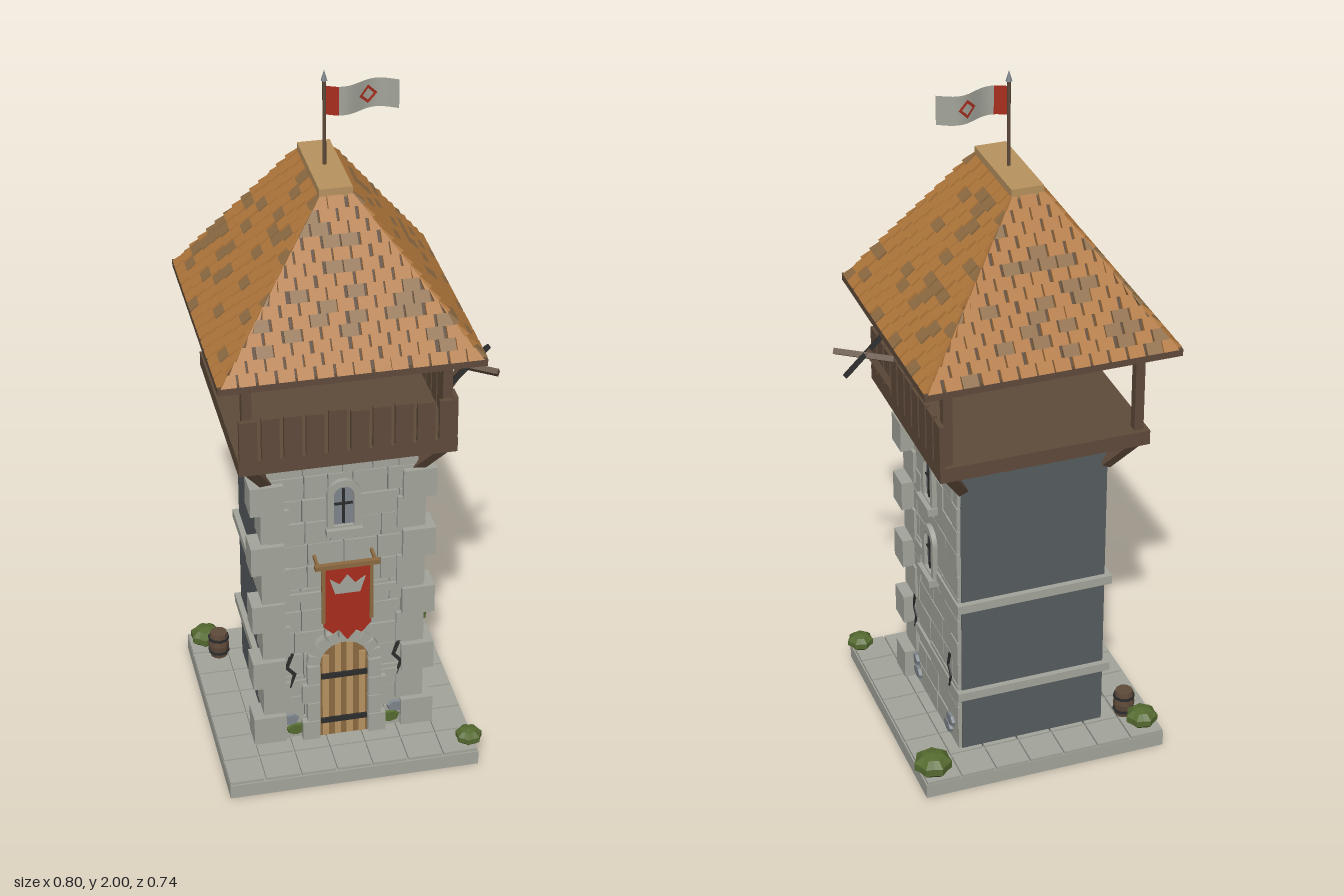
import * as THREE from 'three';
import { mergeGeometries } from 'three/addons/utils/BufferGeometryUtils.js';

const mat = (name, color, side = THREE.FrontSide) => {
  const m = new THREE.MeshStandardMaterial({ color, side });
  m.name = name;
  return m;
};
const DS = THREE.DoubleSide;
const M = {
  stone: mat('pale stone', 0xa3a59b, DS), core: mat('dark stone', 0x565d5f),
  slate: mat('slate', 0x7d848a), timber: mat('timber', 0x5e4a3a),
  shingle: mat('orange shingle', 0xb0763a), worn: mat('worn shingle', 0x8c6a42),
  tan: mat('tan wood', 0xb8925f), red: mat('red cloth', 0xa82e1e, DS),
  green: mat('leaf green', 0x556a30), iron: mat('iron', 0x2b2c2b),
};

// Small seeded random generator
let seed = 7;
const rnd = () => (seed = (seed * 16807) % 2147483647) / 2147483647;

const flat = (g) => {
  const n = g.index ? g.toNonIndexed() : g;
  n.computeVertexNormals();
  return n;
};
const box = (x0, x1, y0, y1, z0, z1) => new THREE.BoxGeometry(x1 - x0, y1 - y0, z1 - z0)
  .translate((x0 + x1) / 2, (y0 + y1) / 2, (z0 + z1) / 2);
// Square beam between two points
const beam = (a, b, w) => {
  const p = new THREE.Vector3(...a), q = new THREE.Vector3(...b);
  const dir = q.clone().sub(p);
  const turn = new THREE.Quaternion().setFromUnitVectors(new THREE.Vector3(0, 1, 0), dir.clone().normalize());
  return new THREE.BoxGeometry(w, dir.length(), w).applyQuaternion(turn)
    .translate(...p.add(q).multiplyScalar(0.5).toArray());
};
const poly = (pts) => new THREE.Shape(pts.map((p) => new THREE.Vector2(...p)));
const plate = (shape, depth, z) => new THREE.ExtrudeGeometry(shape, { depth, bevelEnabled: false, curveSegments: 10 }).translate(0, 0, z);
// Round-topped opening: half width r, from y0 to the top of the arch
const arch = (r, y0, top, Kind = THREE.Shape) => {
  const s = new Kind();
  s.moveTo(-r, y0).lineTo(r, y0).lineTo(r, top - r);
  s.absarc(0, top - r, r, 0, Math.PI, false);
  return s;
};
const mesh = (parent, name, geos, material) => {
  const list = [geos].flat();
  const m = new THREE.Mesh(list.length > 1 ? mergeGeometries(list) : list[0], material);
  m.name = name;
  parent.add(m);
  return m;
};
const group = (parent, name, x = 0, y = 0, z = 0, ry = 0) => {
  const g = new THREE.Group();
  g.name = name;
  g.position.set(x, y, z);
  g.rotation.y = ry;
  parent.add(g);
  return g;
};

// Brick courses, cracks and rubble on one face of the tower
function wallFace(parent, name, ry) {
  const g = group(parent, name, 0, 0, 0, ry);
  const bricks = [], rows = 13, h = 0.95 / rows;
  for (let r = 0; r < rows; r++) {
    let x = -0.208;
    while (x < 0.2) {
      let e = x + 0.065 + rnd() * 0.05;
      if (e > 0.17) e = 0.21;
      bricks.push(box(x, e - 0.003, 0.05 + r * h, 0.05 + (r + 1) * h - 0.003, 0.2, 0.218 + rnd() * 0.004));
      x = e;
    }
  }
  mesh(g, 'bricks', bricks, M.stone);
  for (const s of [-1, 1]) {
    const c = s * 0.152;
    const crack = poly([[c, 0.35], [c + 0.012, 0.35], [c - 0.004, 0.305], [c + 0.018, 0.28], [c + 0.003, 0.235],
      [c - 0.002, 0.235], [c + 0.008, 0.277], [c - 0.014, 0.303]]);
    mesh(g, 'crack', plate(crack, 0.004, 0.225), M.iron);
    [[0.155, 0.12, M.slate], [0.135, 0.085, ry ? M.slate : M.green]].forEach(([x, y, m]) => {
      const stone = new THREE.CylinderGeometry(0.026, 0.03, 0.008, 7).rotateX(Math.PI / 2).scale(1, 0.65, 1);
      mesh(g, 'rubbleStone', flat(stone.translate(s * x, y, 0.226)), m);
    });
  }
  return g;
}

function archedWindow(parent, y, glass) {
  const g = group(parent, 'window', 0, y, 0);
  const frame = arch(0.046, 0, 0.16);
  frame.holes.push(arch(0.028, 0.015, 0.14, THREE.Path));
  mesh(g, 'windowFrame', plate(frame, 0.014, 0.222), M.stone);
  mesh(g, 'windowPane', plate(arch(0.029, 0.012, 0.142), 0.004, 0.222), glass);
  mesh(g, 'windowBars', [box(-0.003, 0.003, 0.02, 0.13, 0.226, 0.231), box(-0.025, 0.025, 0.08, 0.086, 0.226, 0.231)], M.iron);
  mesh(g, 'windowSill', box(-0.05, 0.05, -0.012, 0.01, 0.21, 0.25), M.stone);
}

function door(parent) {
  const g = group(parent, 'door');
  mesh(g, 'doorLeaf', plate(arch(0.068, 0.05, 0.38), 0.006, 0.224), M.worn);
  const planks = [-0.052, -0.017, 0.017, 0.052].map((x) =>
    box(x - 0.009, x + 0.009, 0.055, 0.31 + Math.sqrt(0.066 ** 2 - (Math.abs(x) + 0.009) ** 2), 0.228, 0.234));
  mesh(g, 'doorPlanks', planks, M.tan);
  mesh(g, 'doorHinges', [0.11, 0.265].map((y) => box(-0.066, 0.066, y - 0.008, y + 0.008, 0.233, 0.24)), M.iron);
  const stones = [];
  for (let i = 0; i < 9; i++) {
    stones.push(new THREE.BoxGeometry(0.036, 0.028, 0.03).translate(0.087, 0, 0)
      .rotateZ((i + 0.5) * Math.PI / 9).translate(0, 0.311, 0.227));
  }
  for (const s of [-1, 1]) for (let i = 0; i < 4; i++) {
    stones.push(new THREE.BoxGeometry(i % 2 ? 0.036 : 0.05, 0.061, 0.03).translate(s * (i % 2 ? 0.087 : 0.094), 0.083 + i * 0.064, 0.227));
  }
  mesh(g, 'doorSurround', stones, M.stone);
}

function banner(parent) {
  const g = group(parent, 'banner', 0, 0, 0.275);
  mesh(g, 'bannerCloth', plate(poly([[-0.066, 0.655], [-0.066, 0.465], [-0.04, 0.44], [-0.025, 0.452], [0, 0.415],
    [0.025, 0.445], [0.04, 0.435], [0.066, 0.465], [0.066, 0.655]]), 0.004, 0), M.red);
  mesh(g, 'bannerPole', box(-0.09, 0.09, 0.658, 0.672, -0.006, 0.008), M.worn);
  mesh(g, 'bannerBrackets', [-0.08, 0.08].map((x) => box(x - 0.004, x + 0.004, 0.66, 0.67, -0.06, 0)), M.worn);
  mesh(g, 'bannerTrim', [-1, 1].map((s) => box(s * 0.067 - 0.005, s * 0.067 + 0.005, 0.48, 0.658, -0.001, 0.006)), M.worn);
  mesh(g, 'bannerEmblem', plate(poly([[-0.035, 0.575], [0.035, 0.575], [0.05, 0.625], [0.022, 0.605], [0, 0.635],
    [-0.022, 0.605], [-0.05, 0.625]]), 0.003, 0.004), M.stone);
}

// Hipped roof: shingle courses clipped at the hips over a solid frustum
function roof(parent) {
  const g = group(parent, 'roof');
  const y0 = 1.305, y1 = 1.715, eave = 0.346, rows = 14, lerp = THREE.MathUtils.lerp;
  const under = new THREE.BoxGeometry(2, 1, 2), p = under.attributes.position;
  for (let i = 0; i < p.count; i++) {
    const top = p.getY(i) > 0;
    p.setXYZ(i, p.getX(i) * (top ? 0.04 : 0.342), top ? y1 : y0, p.getZ(i) * (top ? 0.136 : 0.342));
  }
  mesh(g, 'roofBoards', flat(under), M.timber);
  mesh(g, 'eaveFrame', box(-0.354, 0.354, 1.29, 1.31, -0.354, 0.354), M.timber);
  mesh(g, 'ridgeCap', box(-0.044, 0.044, 1.708, 1.735, -0.14, 0.14), M.tan);
  const sets = [[], []];
  for (let k = 0; k < 4; k++) {
    const wTop = k % 2 ? 0.14 : 0.044, dTop = k % 2 ? 0.044 : 0.14;
    const nrm = new THREE.Vector2(y1 - y0, eave - dTop).normalize();
    for (let r = 0; r < rows; r++) {
      const t = [r / rows, (r + 1) / rows], w = t.map((v) => lerp(eave, wTop, v));
      const pitch = 0.05, n = Math.ceil(w[0] / pitch) + 1;
      for (let i = -n; i < n; i++) {
        const a = (i + (r % 2) / 2) * pitch + rnd() * 0.006, b = a + pitch - 0.007;
        if (a > w[0] - 0.004 || b < -w[0] + 0.004) continue;
        const s = new THREE.BoxGeometry(1, 1, 1), v = s.attributes.position;
        for (let j = 0; j < v.count; j++) {
          const up = v.getY(j) > 0 ? 1 : 0;
          const x = THREE.MathUtils.clamp(v.getX(j) > 0 ? b : a, -w[up], w[up]);
          const out = v.getZ(j) < 0 ? -0.003 : up ? 0.003 : 0.011;
          v.setXYZ(j, x, lerp(y0, y1, t[up]) + out * nrm.y, lerp(eave, dTop, t[up]) + out * nrm.x);
        }
        sets[rnd() < 0.2 ? 1 : 0].push(flat(s.rotateY(k * Math.PI / 2)));
      }
    }
  }
  mesh(g, 'shingles', sets[0], M.shingle);
  mesh(g, 'wornShingles', sets[1], M.worn);
}

function flag(parent) {
  const g = group(parent, 'flag');
  mesh(g, 'flagPole', new THREE.CylinderGeometry(0.005, 0.005, 0.25, 8).translate(0, 1.855, 0), M.timber);
  mesh(g, 'poleTip', flat(new THREE.ConeGeometry(0.009, 0.03, 6).translate(0, 1.985, 0)), M.slate);
  const wave = (geo, dz = 0) => {
    const p = geo.attributes.position;
    for (let i = 0; i < p.count; i++) p.setZ(i, 0.018 * Math.sin(p.getX(i) * 34) + dz);
    geo.computeVertexNormals();
    return geo;
  };
  const cloth = (a, b) => wave(new THREE.PlaneGeometry(b - a, 0.08, 12, 1).translate((a + b) / 2, 1.916, 0));
  mesh(g, 'flagStripe', cloth(0, 0.035), M.red);
  mesh(g, 'flagCloth', cloth(0.035, 0.195), M.stone);
  for (const dz of [-0.002, 0.002]) {
    mesh(g, 'flagDiamond', wave(new THREE.RingGeometry(0.016, 0.026, 4, 3).translate(0.117, 1.916, 0), dz), M.red);
  }
}

function gallery(parent) {
  const g = group(parent, 'gallery');
  mesh(g, 'deck', box(-0.295, 0.295, 1.0, 1.042, -0.295, 0.295), M.timber);
  const posts = [], braces = [], pickets = [];
  for (const sx of [-1, 1]) for (const sz of [-1, 1]) {
    posts.push(box(sx * 0.268 - 0.013, sx * 0.268 + 0.013, 1.04, 1.295, sz * 0.268 - 0.013, sz * 0.268 + 0.013));
    braces.push(beam([sx * 0.205, 0.91, sz * 0.205], [sx * 0.27, 1.01, sz * 0.27], 0.028));
  }
  // Picket fence on the front and left sides
  for (const ry of [0, Math.PI / 2]) for (let i = 0; i < 10; i++) {
    const x = -0.268 + i * 0.0596;
    pickets.push(box(x - 0.024, x + 0.024, 1.04, 1.16 + rnd() * 0.01, 0.281, 0.295).rotateY(ry));
  }
  mesh(g, 'roofPosts', posts, M.timber);
  mesh(g, 'cornerBraces', braces, M.timber);
  mesh(g, 'pickets', pickets, M.timber);
  // Mounted crossbow
  const bow = group(g, 'crossbow', 0.36, 1.165, 0.143);
  mesh(bow, 'bowStock', beam([-0.07, 0, -0.05], [0.07, 0, 0.05], 0.016), M.timber);
  mesh(bow, 'bowArms', beam([0.078, 0, -0.088], [-0.078, 0, 0.086], 0.014), M.iron);
  mesh(bow, 'bowStand', beam([-0.07, -0.1, -0.02], [-0.01, 0.01, 0], 0.018), M.timber);
}

export function createModel() {
  const model = new THREE.Group();
  model.name = 'watchtower';
  const t = group(model, 'tower', -0.04, 0, -0.02);

  // Paved base
  mesh(t, 'baseSlab', box(-0.355, 0.355, 0, 0.043, -0.325, 0.385), M.stone);
  const tiles = [];
  for (let i = 0; i < 7; i++) for (let j = 0; j < 7; j++) {
    const x = -0.355 + i * 0.1015, z = -0.325 + j * 0.1015;
    tiles.push(box(x + 0.001, x + 0.097, 0.04, 0.052, z + 0.001, z + 0.097));
  }
  mesh(t, 'pavingTiles', tiles, M.stone);

  // Tower body with string courses
  mesh(t, 'towerCore', box(-0.21, 0.21, 0.04, 1.0, -0.21, 0.21), M.core);
  mesh(t, 'stringCourses', [0.24, 0.535].map((y) => box(-0.226, 0.226, y - 0.013, y + 0.013, -0.226, 0.226)), M.stone);
  const front = wallFace(t, 'frontWall', 0);
  const side = wallFace(t, 'leftWall', Math.PI / 2);
  archedWindow(front, 0.75, M.slate);
  archedWindow(side, 0.75, M.core);
  archedWindow(side, 0.515, M.core);
  door(front);
  banner(front);
  const quoins = [];
  for (const s of [-1, 1]) for (let i = 0; i < 9; i++) {
    const big = i % 2 === 0, y = 0.055 + i * 0.0965;
    const a = s * (big ? 0.165 : 0.15), b = s * (big ? 0.257 : 0.228);
    quoins.push(box(Math.min(a, b), Math.max(a, b), y, y + (big ? 0.088 : 0.1), big ? 0.16 : 0.14, big ? 0.236 : 0.229));
  }
  mesh(t, 'cornerStones', quoins, M.stone);

  gallery(t);
  roof(t);
  flag(t);

  // Barrel
  const barrel = group(model, 'barrel', -0.32, 0.052, -0.23);
  const profile = [[0, 0], [0.025, 0], [0.031, 0.04], [0.025, 0.08], [0, 0.08]].map((p) => new THREE.Vector2(...p));
  mesh(barrel, 'barrelBody', flat(new THREE.LatheGeometry(profile, 10)), M.timber);
  mesh(barrel, 'barrelHoops', [0.018, 0.062].map((y) => new THREE.CylinderGeometry(0.031, 0.031, 0.008, 10).translate(0, y, 0)), M.iron);

  // Bushes: ribbed low domes
  for (const [x, z, r] of [[-0.348, -0.295, 0.048], [0.28, -0.295, 0.057], [0.295, 0.328, 0.04]]) {
    const dome = new THREE.SphereGeometry(r, 14, 5), p = dome.attributes.position;
    for (let i = 0; i < p.count; i++) {
      const k = Math.round(Math.atan2(p.getZ(i), p.getX(i)) * 7 / Math.PI) % 2 ? 0.86 : 1;
      p.setXYZ(i, p.getX(i) * k, p.getY(i) * 0.62, p.getZ(i) * k);
    }
    mesh(model, 'bush', flat(dome.translate(x, 0.078, z)), M.green);
  }
  return model;
}
